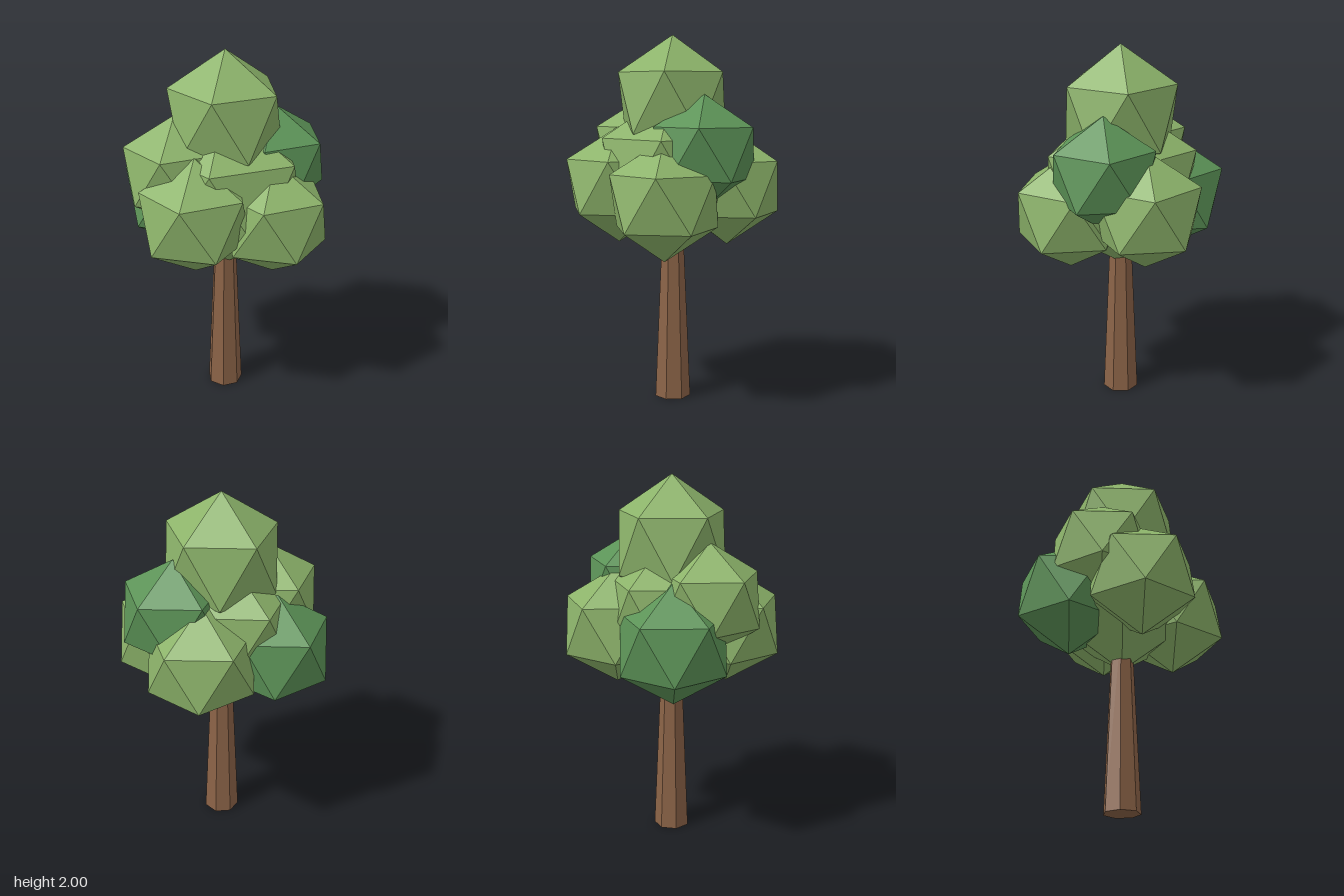
import * as THREE from 'three';

// Twenty-sided leaf clump standing on a point, with unit radius
function clumpGeometry() {
  const h = 1 / Math.sqrt(5), r = 2 * h;
  const ring = (k, y, turn) => {
    const a = ((k + turn) * Math.PI * 2) / 5;
    return [r * Math.cos(a), y, r * Math.sin(a)];
  };
  const top = [0, 1, 0], bottom = [0, -1, 0], points = [];
  for (let k = 0; k < 5; k++) {
    const u0 = ring(k, h, 0), u1 = ring(k + 1, h, 0);
    const l0 = ring(k, -h, 0.5), l1 = ring(k + 1, -h, 0.5);
    points.push(top, u1, u0, u0, u1, l0, l0, u1, l1, bottom, l0, l1);
  }
  const geometry = new THREE.BufferGeometry();
  geometry.setAttribute('position', new THREE.Float32BufferAttribute(points.flat(), 3));
  geometry.computeVertexNormals();
  return geometry;
}

export function createModel() {
  const lightLeaf = new THREE.MeshStandardMaterial({ color: 0x8cb36a, flatShading: true });
  lightLeaf.name = 'lightLeaf';
  const darkLeaf = new THREE.MeshStandardMaterial({ color: 0x5c9357, flatShading: true });
  darkLeaf.name = 'darkLeaf';
  const bark = new THREE.MeshStandardMaterial({ color: 0x8b6347, flatShading: true });
  bark.name = 'bark';

  const tree = new THREE.Group();
  tree.name = 'tree';

  // Tapered seven-sided trunk, one corner to the back
  const trunk = new THREE.Mesh(new THREE.CylinderGeometry(0.057, 0.1, 1, 7), bark);
  trunk.name = 'trunk';
  trunk.position.y = 0.5;
  trunk.rotation.y = Math.PI;
  tree.add(trunk);

  // Crown: name, material, centre, radii
  const foliage = new THREE.Group();
  foliage.name = 'foliage';
  const leaf = clumpGeometry();
  const clumps = [
    ['centreClump', lightLeaf, [0, 1.245, 0], [0.465, 0.46, 0.428]],
    ['topClump', lightLeaf, [0, 1.64, 0], [0.338, 0.36, 0.33]],
    ['frontClump', lightLeaf, [0, 1.19, 0.3], [0.32, 0.32, 0.32]],
    ['backClump', lightLeaf, [0, 1.19, -0.3], [0.32, 0.32, 0.32]],
    ['leftClump', lightLeaf, [0.3, 1.135, 0], [0.319, 0.319, 0.319]],
    ['rightClump', darkLeaf, [-0.303, 1.16, 0], [0.321, 0.325, 0.321]],
    ['upperFrontClump', lightLeaf, [-0.19, 1.37, 0.19], [0.302, 0.302, 0.302]],
    ['upperBackClump', darkLeaf, [0.19, 1.382, -0.195], [0.302, 0.302, 0.302]],
  ];
  for (const [name, material, centre, radii] of clumps) {
    const clump = new THREE.Mesh(leaf, material);
    clump.name = name;
    clump.position.set(...centre);
    clump.scale.set(...radii);
    foliage.add(clump);
  }
  tree.add(foliage);
  return tree;
}
